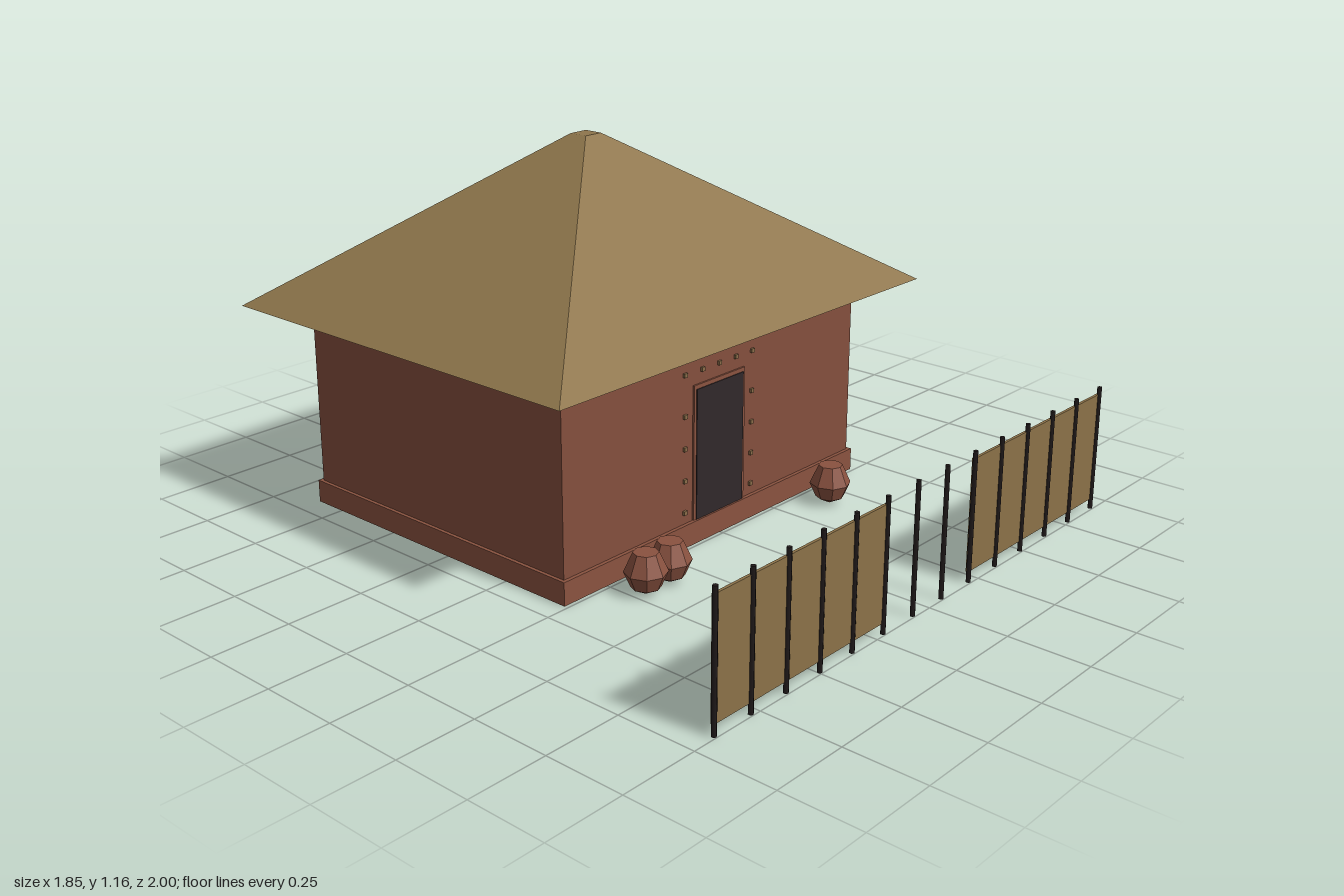
import * as THREE from 'three';

const material = (name, color) => {
  const m = new THREE.MeshStandardMaterial({ color });
  m.name = name;
  return m;
};

export function createModel() {
  const model = new THREE.Group();
  model.name = 'hut';

  const clay = material('clay wall', 0x854f3e);
  const paleClay = material('pale clay', 0x8a5340);
  const thatch = material('thatch', 0x8e764c);
  const reed = material('reed matting', 0x8b7148);
  const darkWood = material('dark wood', 0x30282a);
  const post = material('post wood', 0x201a1a);
  const stud = material('stud', 0x8b6e4a);
  const pottery = material('pottery', 0x8a5240);
  pottery.flatShading = true;

  const add = (name, geometry, mat, x, y, z, parent = model) => {
    const mesh = new THREE.Mesh(geometry, mat);
    mesh.name = name;
    mesh.position.set(x, y, z);
    parent.add(mesh);
    return mesh;
  };
  const box = (name, mat, w, h, d, x, y, z, parent) =>
    add(name, new THREE.BoxGeometry(w, h, d), mat, x, y, z, parent);

  // Walls on a slightly wider plinth
  const midZ = -0.311;
  box('plinth', paleClay, 1.346, 0.073, 1.098, 0, 0.0365, midZ);
  box('walls', clay, 1.324, 0.59, 1.074, 0, 0.365, midZ);

  // Hipped roof: a box whose top corners are drawn in to a small cap
  const roofGeo = new THREE.BoxGeometry(1.626, 0.507, 1.374);
  const p = roofGeo.attributes.position;
  for (let i = 0; i < p.count; i++) {
    if (p.getY(i) > 0) {
      p.setX(i, Math.sign(p.getX(i)) * 0.033);
      p.setZ(i, Math.sign(p.getZ(i)) * 0.032);
    }
  }
  roofGeo.computeVertexNormals();
  add('roof', roofGeo, thatch, 0, 0.9085, -0.313);

  // Door with a thin surround
  box('doorFrame', paleClay, 0.234, 0.428, 0.008, 0, 0.289, 0.228);
  box('door', darkWood, 0.214, 0.415, 0.008, 0, 0.2825, 0.231);

  // Window in the left wall
  box('window', darkWood, 0.008, 0.155, 0.15, 0.662, 0.337, -0.31);

  // Studs around the doorway
  const studs = new THREE.Group();
  studs.name = 'doorStuds';
  model.add(studs);
  const addStud = (x, y) => box('stud', stud, 0.013, 0.013, 0.009, x, y, 0.229, studs);
  for (let i = -2; i <= 2; i++) addStud(i * 0.077, 0.545);
  for (let i = 0; i < 4; i++) {
    for (const side of [-1, 1]) addStud(side * 0.154, 0.11 + i * 0.102);
  }

  // Fence: evenly spaced posts, matting on each side of the gateway
  const fence = new THREE.Group();
  fence.name = 'fence';
  model.add(fence);
  const postGeo = new THREE.CylinderGeometry(0.008, 0.008, 0.405, 6);
  for (let i = 0; i < 14; i++) {
    add('fencePost', postGeo, post, -0.918 + i * 0.1412, 0.2025, 0.991, fence);
  }
  for (const side of [-1, 1]) {
    box('fencePanel', reed, 0.71, 0.35, 0.009, side * 0.565, 0.206, 0.986, fence);
  }

  // Faceted pots in front of the house
  const potGeo = new THREE.LatheGeometry(
    [[0, 0], [0.045, 0.024], [0.065, 0.07], [0.038, 0.13], [0, 0.13]]
      .map(([r, y]) => new THREE.Vector2(r, y)), 8);
  for (const x of [-0.462, -0.36, 0.403]) add('pot', potGeo, pottery, x, 0, 0.353);

  return model;
}
